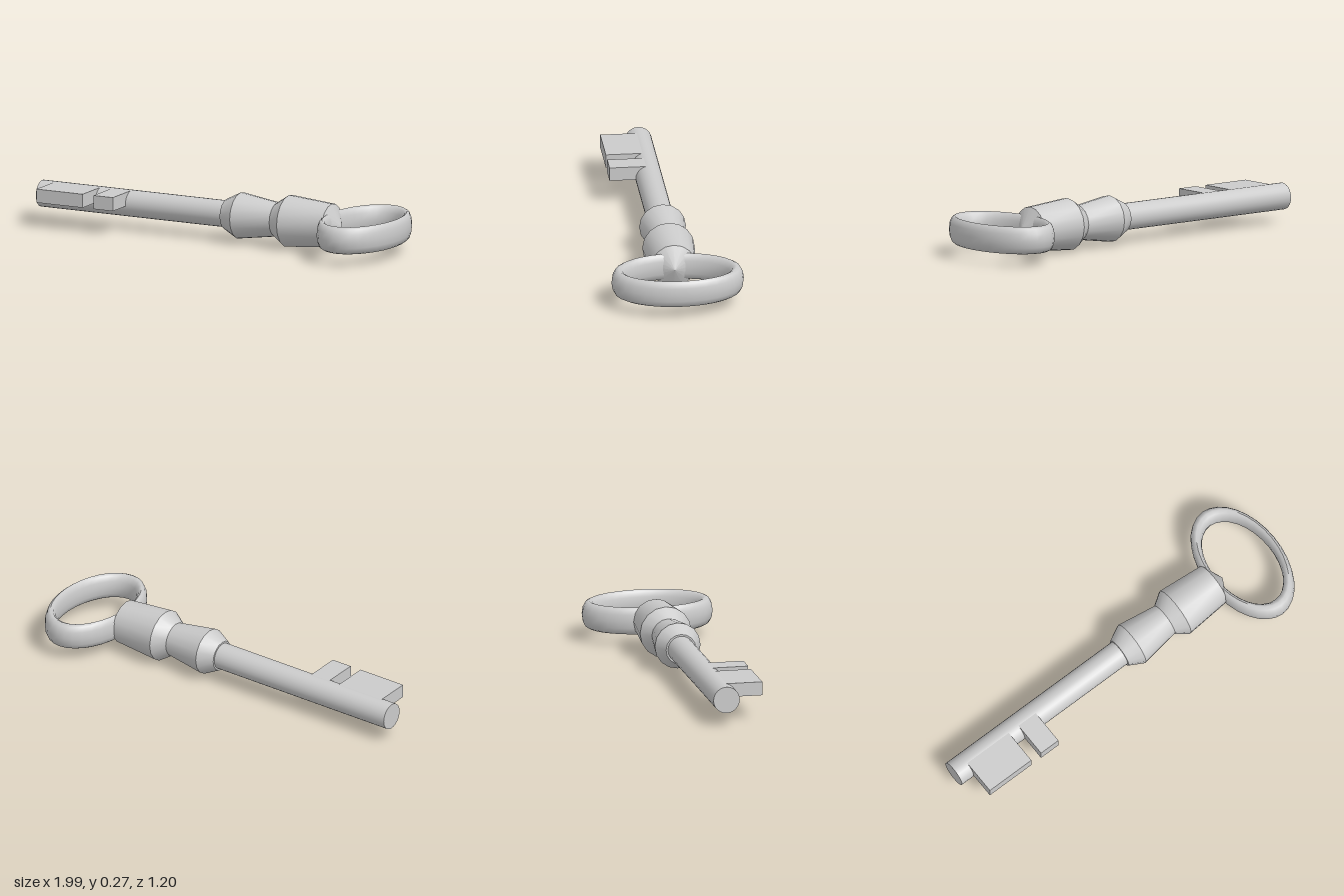
import * as THREE from 'three';
import { toCreasedNormals } from 'three/addons/utils/BufferGeometryUtils.js';

const material = new THREE.MeshStandardMaterial({ color: 0xcccccc });

function addPart(parent, name, geometry) {
  const mesh = new THREE.Mesh(geometry, material);
  mesh.name = name;
  parent.add(mesh);
  return mesh;
}

// Turned solid along +x from [distance, radius] pairs, with sharp rims
function turned(profile, sides) {
  const points = profile.map(([s, r]) => new THREE.Vector2(r, s));
  const geometry = new THREE.LatheGeometry(points, sides).rotateZ(-Math.PI / 2);
  return toCreasedNormals(geometry, 0.45);
}

export function createModel() {
  const model = new THREE.Group();
  model.name = 'key';

  // Local frame: tip at the origin, x along the key, z towards the bits
  const body = new THREE.Group();
  body.name = 'keyBody';
  body.position.set(-0.97, 0.137, -0.535);
  body.rotation.y = -THREE.MathUtils.degToRad(25.4);
  model.add(body);

  // Round shaft with a flat tip
  addPart(body, 'shaft', turned([[0, 0], [0, 0.07], [1.15, 0.07], [1.15, 0]], 24));

  // Collar with two swellings, ending in a shallow cone inside the bow
  addPart(body, 'collar', turned([
    [1.09, 0], [1.09, 0.08], [1.172, 0.122], [1.388, 0.09],
    [1.457, 0.137], [1.71, 0.116], [1.77, 0],
  ], 16));

  // Flat rectangular bits on the upper half of the shaft
  for (const [start, end] of [[0.077, 0.35], [0.414, 0.528]]) {
    const bit = addPart(body, 'bit', new THREE.BoxGeometry(end - start, 0.072, 0.207));
    bit.position.set((start + end) / 2, 0.032, 0.1035);
  }

  // Oval bow: a torus stretched across the key, with a tall section
  const bow = new THREE.TorusGeometry(0.89, 0.11, 12, 32);
  bow.rotateX(Math.PI / 2);
  bow.scale(0.213, 0.072 / 0.11, 0.346);
  bow.computeVertexNormals();
  addPart(body, 'bow', toCreasedNormals(bow, 1.2)).position.x = 1.902;

  return model;
}
